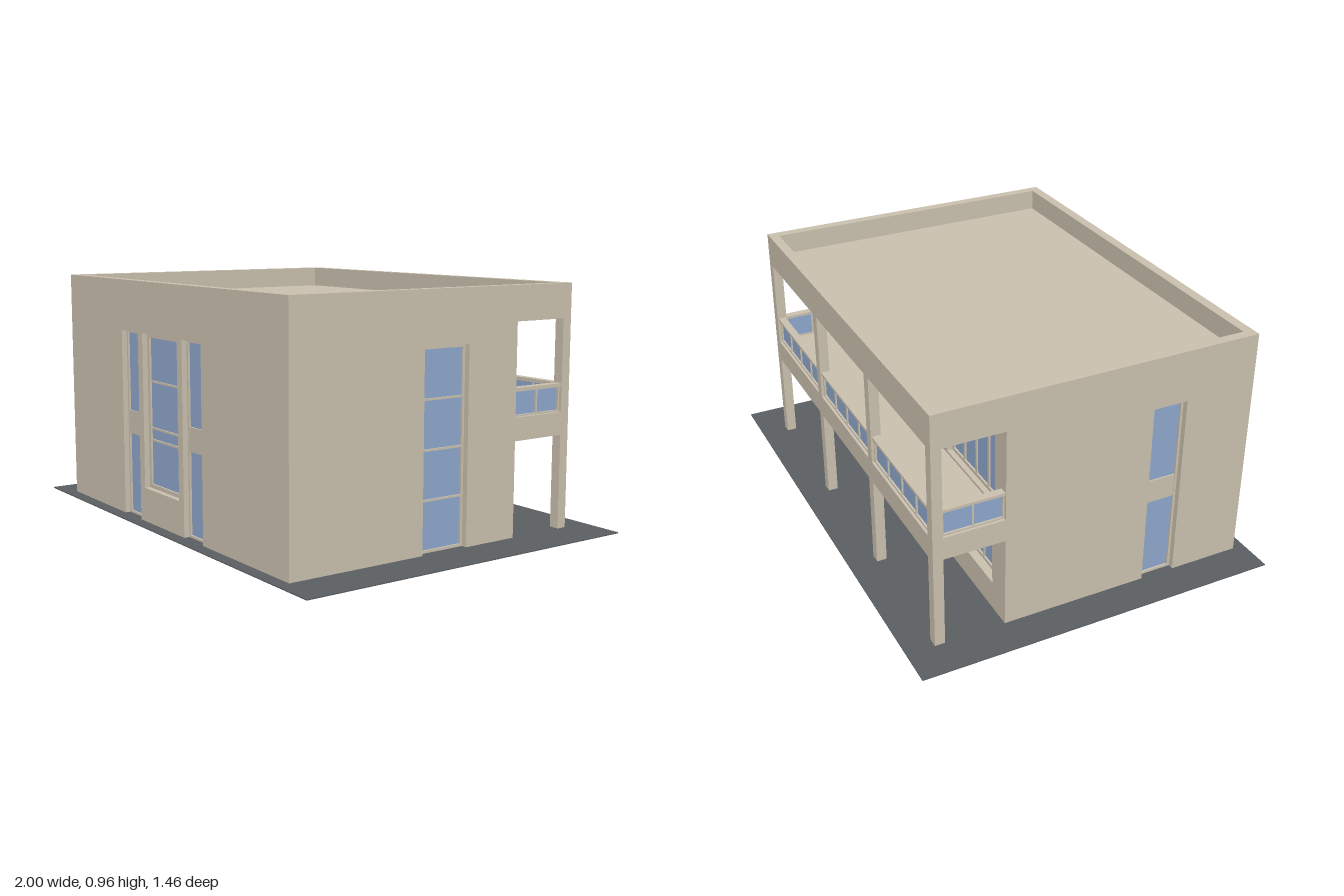
import * as THREE from 'three';

const mat = (name, color) => {
  const m = new THREE.MeshStandardMaterial({ color });
  m.name = name;
  return m;
};

export function createModel() {
  const model = new THREE.Group();
  model.name = 'house';
  const stucco = mat('beige stucco', 0xc9c0ae);
  const glass = mat('blue glass', 0x8ea6cc);
  const paving = mat('dark paving', 0x5b5f62);

  // Main dimensions
  const X0 = -0.86, X1 = 0.825, Z0 = -0.62, Z1 = 0.68, H = 0.96, T = 0.04;
  const LOGGIA = -0.34, FLOOR = 0.465, BASE = 0.002;

  const box = (parent, name, m, x0, x1, y0, y1, z0, z1) => {
    const b = new THREE.Mesh(new THREE.BoxGeometry(x1 - x0, y1 - y0, z1 - z0), m);
    b.position.set((x0 + x1) / 2, (y0 + y1) / 2, (z0 + z1) / 2);
    b.name = name;
    parent.add(b);
    return b;
  };

  const rect = (P, a, b, c, d) => {
    const p = new P();
    p.moveTo(a, c); p.lineTo(b, c); p.lineTo(b, d); p.lineTo(a, d); p.closePath();
    return p;
  };

  // Wall with openings [u0, u1, y0, y1]; its outer face is local z = 0.
  // Openings starting at the ground become notches in the outline.
  const wall = (name, rotation, x, z, u0, u1, top, openings) => {
    const g = new THREE.Group();
    g.name = name;
    g.position.set(x, 0, z);
    g.rotation.y = rotation;
    const s = new THREE.Shape();
    s.moveTo(u0, BASE);
    openings.filter(o => o[2] === 0).sort((a, b) => a[0] - b[0]).forEach(([a, b, , d]) => {
      s.lineTo(a, BASE); s.lineTo(a, d); s.lineTo(b, d); s.lineTo(b, BASE);
    });
    s.lineTo(u1, BASE); s.lineTo(u1, top); s.lineTo(u0, top); s.closePath();
    openings.filter(o => o[2] > 0).forEach(o => s.holes.push(rect(THREE.Path, ...o)));
    const geo = new THREE.ExtrudeGeometry(s, { depth: T, bevelEnabled: false });
    geo.translate(0, 0, -T);
    const m = new THREE.Mesh(geo, stucco);
    m.name = name + 'Shell';
    g.add(m);
    model.add(g);
    return g;
  };

  // Recessed glazing: pane, outer frame, vertical and horizontal bars
  const glaze = (parent, name, [a, b, c, d], { cols = [], rows = [], f = 0.013, bar = 0.008, z = -T + 0.004 } = {}) => {
    const g = new THREE.Group();
    g.name = name;
    parent.add(g);
    const bottom = Math.max(c, 0.004);
    box(g, 'pane', glass, a, b, bottom, d, z, z + 0.006);
    const ring = rect(THREE.Shape, a, b, bottom, d);
    ring.holes.push(rect(THREE.Path, a + f, b - f, bottom + f, d - f));
    const geo = new THREE.ExtrudeGeometry(ring, { depth: 0.016, bevelEnabled: false });
    const frame = new THREE.Mesh(geo, stucco);
    frame.position.z = z - 0.002;
    frame.name = 'frame';
    g.add(frame);
    cols.forEach(u => box(g, 'mullion', stucco, u - bar / 2, u + bar / 2, c + f, d - f, z - 0.002, z + 0.012));
    rows.forEach(([y0, y1]) => box(g, 'crossbar', stucco, a + f, b - f, y0, y1, z - 0.002, z + 0.012));
  };
  const split = (a, b, n) => Array.from({ length: n - 1 }, (_, i) => a + (b - a) * (i + 1) / n);
  const thin = ys => ys.map(y => [y - 0.004, y + 0.004]);

  // Ground plate
  box(model, 'groundPlate', paving, -1, 1, 0, 0.004, -0.73, 0.73);

  // Front wall: tall side windows and a central stair window
  const spandrel = [[0.335, 0.43]];
  const frontSide = [[-0.38, -0.24, 0, 0.757], [0.113, 0.255, 0, 0.757]];
  const frontMid = [-0.202, 0.076, 0.14, 0.757];
  const front = wall('frontWall', 0, 0, Z1, X0, X1, H, [...frontSide, frontMid]);
  frontSide.forEach(o => glaze(front, 'tallWindow', o, { rows: spandrel, f: 0.009 }));
  glaze(front, 'stairWindow', frontMid, { rows: thin([0.335, 0.382, 0.568]), f: 0.016 });

  // Side walls, each with a window and the two loggia openings
  const sideWall = (name, rot, x, sign, win, rows) => {
    const range = (a, b) => [sign * a, sign * b].sort((p, q) => p - q);
    const w = [...range(win[0], win[1]), 0, 0.755];
    const l = range(-0.58, LOGGIA);
    const g = wall(name, rot, x, 0, ...range(Z0, Z1), H,
      [w, [...l, 0, 0.375], [...l, FLOOR, 0.825]]);
    glaze(g, 'sideWindow', w, { rows, f: 0.01 });
    balustrade(g, l[0], l[1], 2);
  };

  // Glazed balustrade with a flat handrail
  const balustrade = (parent, a, b, n) => {
    glaze(parent, 'balustrade', [a, b, FLOOR, 0.567], { cols: split(a, b, n), f: 0.007, z: -T / 2 - 0.005 });
    box(parent, 'handrail', stucco, a, b, 0.565, 0.576, -T + 0.004, -0.004);
  };

  sideWall('rightWall', Math.PI / 2, X1, -1, [-0.103, 0.105], thin([0.197, 0.381, 0.565]));
  sideWall('leftWall', -Math.PI / 2, X0, 1, [0.25, 0.39], spandrel);

  // Back colonnade in three bays, u runs along -x
  const step = (X1 - X0 - T) / 3;
  const bays = [0, 1, 2].map(i => [-X1 + T + i * step, -X1 + (i + 1) * step]);
  const back = wall('backColonnade', Math.PI, 0, Z0, -X1, -X0, H,
    bays.flatMap(b => [[...b, 0, 0.375], [...b, FLOOR, 0.825]]));
  bays.forEach(([a, b]) => balustrade(back, a, b, 4));

  // Recessed rear wall with windows and doors on both floors
  const upper = [[-0.74, -0.34], [-0.205, 0.24], [0.375, 0.775]].map(r => [...r, 0.475, 0.765]);
  const lower = [[-0.73, -0.38, 0.14, 0.335], [-0.14, 0.17, 0, 0.335], [0.4, 0.755, 0.14, 0.335]];
  const rear = wall('rearWall', Math.PI, 0, LOGGIA, -X1 + T, -X0 - T, 0.86, [...upper, ...lower]);
  upper.forEach(o => glaze(rear, 'upperWindow', o, { cols: split(o[0], o[1], 4), bar: 0.012 }));
  lower.forEach(o => {
    glaze(rear, 'lowerWindow', o, { cols: split(o[0], o[1], 3), bar: 0.012 });
    if (o[2] > 0) box(rear, 'sill', stucco, o[0] - 0.01, o[1] + 0.01, 0.128, 0.14, -T, 0.012);
  });

  // Balcony floor and roof deck, set between the walls
  box(model, 'balconyFloor', stucco, X0 + T, X1 - T, 0.425, FLOOR, Z0 + T, LOGGIA);
  box(model, 'roofDeck', stucco, X0 + T, X1 - T, 0.845, 0.875, Z0 + T, Z1 - T);

  return model;
}
